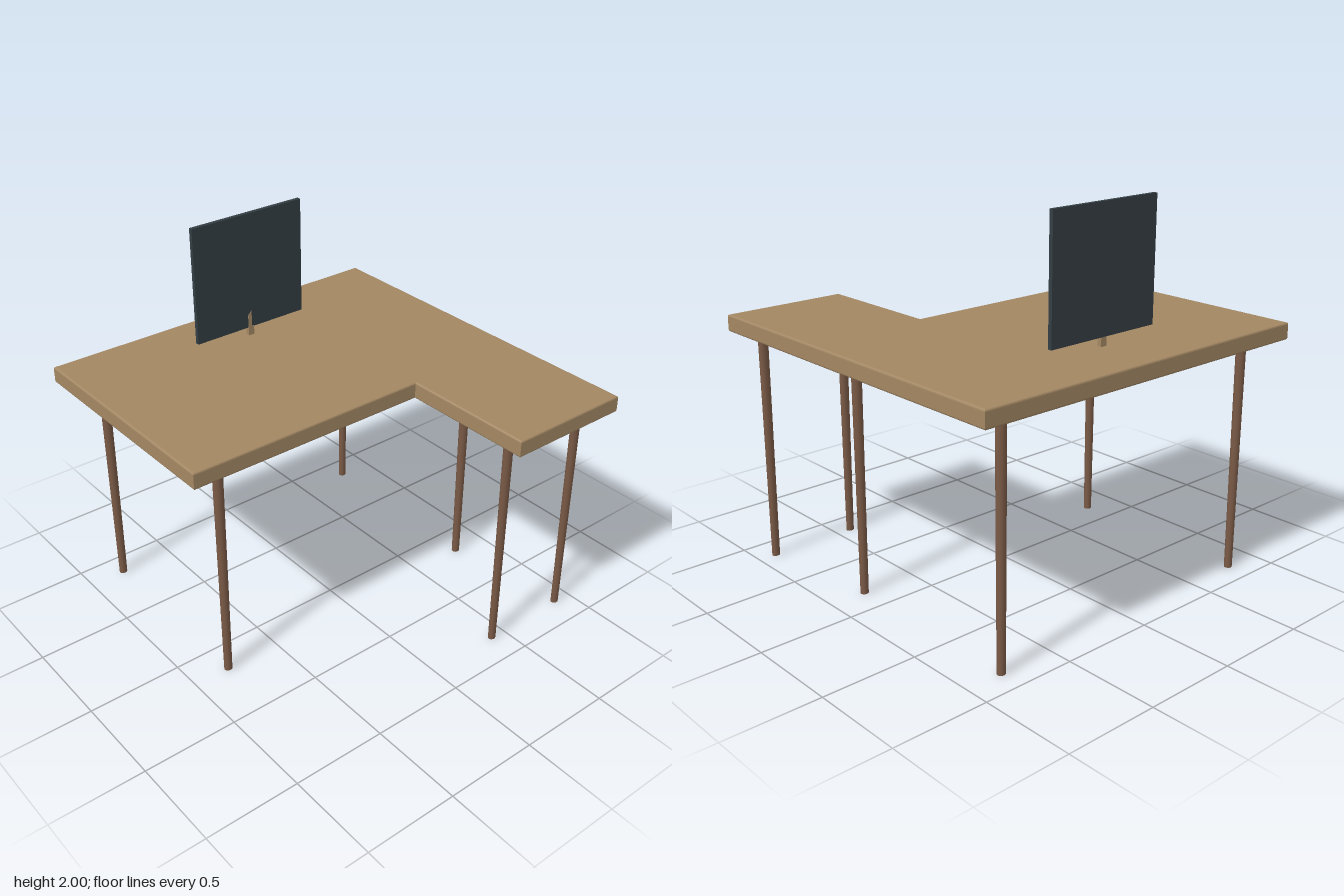
import * as THREE from 'three';

const wood = new THREE.MeshStandardMaterial({ color: 0xa38763 });
const darkWood = new THREE.MeshStandardMaterial({ color: 0x7a5a46 });
const black = new THREE.MeshStandardMaterial({ color: 0x343e43 });

function addMesh(parent, name, geometry, material, x = 0, y = 0, z = 0) {
  const mesh = new THREE.Mesh(geometry, material);
  mesh.name = name;
  mesh.position.set(x, y, z);
  parent.add(mesh);
  return mesh;
}

const shapeOf = (points) => new THREE.Shape(points.map(([x, y]) => new THREE.Vector2(x, y)));

// Slim tapered leg with a slightly oval section, standing on the floor
function addLeg(parent, name, x, z, height, rx, rz) {
  const geometry = new THREE.CylinderGeometry(1, 0.8, height, 16);
  geometry.scale(rx, 1, rz);
  addMesh(parent, name, geometry, darkWood, x, height / 2, z);
}

export function createModel() {
  const model = new THREE.Group();
  model.name = 'cornerDesk';

  // L-shaped top with softened edges (shape y becomes -z)
  const bevel = 0.01;
  const lo = -1 + bevel, hi = 1 - bevel;
  const outline = shapeOf([
    [lo, -0.28 + bevel], [0.32 + bevel, -0.28 + bevel], [0.32 + bevel, lo],
    [hi, lo], [hi, hi], [lo, hi],
  ]);
  const top = new THREE.ExtrudeGeometry(outline, {
    depth: 0.07, bevelEnabled: true, bevelSize: bevel, bevelThickness: bevel, bevelSegments: 3,
  });
  top.rotateX(-Math.PI / 2);
  addMesh(model, 'deskTop', top, wood, 0, 1.24, 0);

  // Four legs under the main part, two under the return
  const legs = new THREE.Group();
  legs.name = 'legs';
  model.add(legs);
  for (const x of [-0.8, 0.8]) {
    addLeg(legs, 'backLeg', x, -0.87, 1.205, 0.027, 0.025);
    addLeg(legs, 'middleLeg', x, 0.165, 1.205, 0.027, 0.025);
  }
  for (const x of [0.415, 0.898]) addLeg(legs, 'returnLeg', x, 0.84, 1.22, 0.027, 0.022);

  // Monitor panel on a small stand whose slanted tip shows in front
  const monitor = new THREE.Group();
  monitor.name = 'monitor';
  model.add(monitor);
  addMesh(monitor, 'screen', new THREE.BoxGeometry(0.674, 0.634, 0.022), black, 0, 1.683, -0.677);
  const standShape = shapeOf([
    [-0.019, 1.315], [0.016, 1.315], [0.016, 1.37], [0.003, 1.37], [0.003, 1.46], [-0.019, 1.435],
  ]);
  const stand = new THREE.ExtrudeGeometry(standShape, { depth: 0.023, bevelEnabled: false });
  addMesh(monitor, 'stand', stand, wood, 0, 0, -0.687);

  return model;
}
